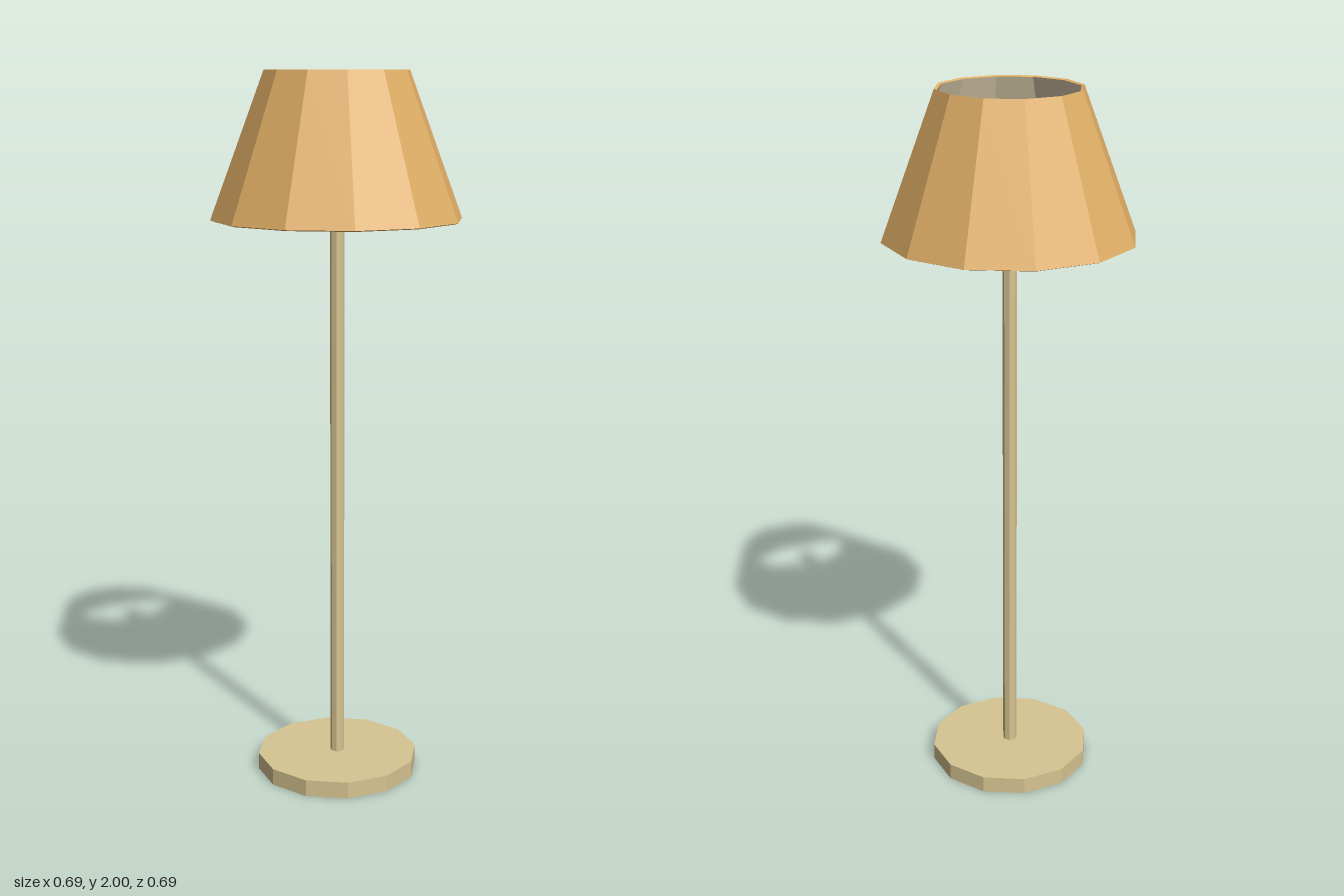
import * as THREE from 'three';

const material = (name, color, extra = {}) =>
  Object.assign(new THREE.MeshStandardMaterial({ color, flatShading: true, ...extra }), { name });

export function createModel() {
  const lamp = new THREE.Group();
  lamp.name = 'floorLamp';

  const fabric = material('amberFabric', 0xe2b067);
  const lining = material('paleLining', 0xdfd0ae);
  const metal = material('brassMetal', 0xd7c491);

  const add = (name, geometry, mat, y = 0, parent = lamp) => {
    const mesh = new THREE.Mesh(geometry, mat);
    mesh.name = name;
    mesh.position.y = y;
    parent.add(mesh);
    return mesh;
  };
  // Upright prism between two heights
  const prism = (name, radius, sides, y0, y1) =>
    add(name, new THREE.CylinderGeometry(radius, radius, y1 - y0, sides), metal, (y0 + y1) / 2);
  // Twelve-sided surface from a profile of [radius, height]
  const ring = (name, profile, mat) =>
    add(name, new THREE.LatheGeometry(profile.map(p => new THREE.Vector2(...p)), 12), mat);

  // Stand
  prism('base', 0.232, 12, 0, 0.048);
  prism('pole', 0.02, 8, 0.048, 1.74);
  prism('socket', 0.032, 8, 1.735, 1.86);

  // Shade: the wall is offset square to its slope, so both rims tilt
  const outerBottom = [0.347, 1.603], outerTop = [0.198, 2];
  const innerBottom = [0.339, 1.6], innerTop = [0.19, 1.997];
  ring('shadeOuter', [innerBottom, outerBottom, outerTop, innerTop], fabric);
  ring('shadeLining', [innerTop, innerBottom], lining);

  // Three struts hold the shade to the socket
  const struts = new THREE.Group();
  struts.name = 'struts';
  struts.position.y = 1.84;
  lamp.add(struts);
  for (let i = 0; i < 3; i++) {
    const geometry = new THREE.BoxGeometry(0.006, 0.006, 0.22);
    geometry.translate(0, 0, -0.138);
    add('strut', geometry, metal, 0, struts).rotation.y = (i * Math.PI * 2) / 3;
  }
  return lamp;
}
